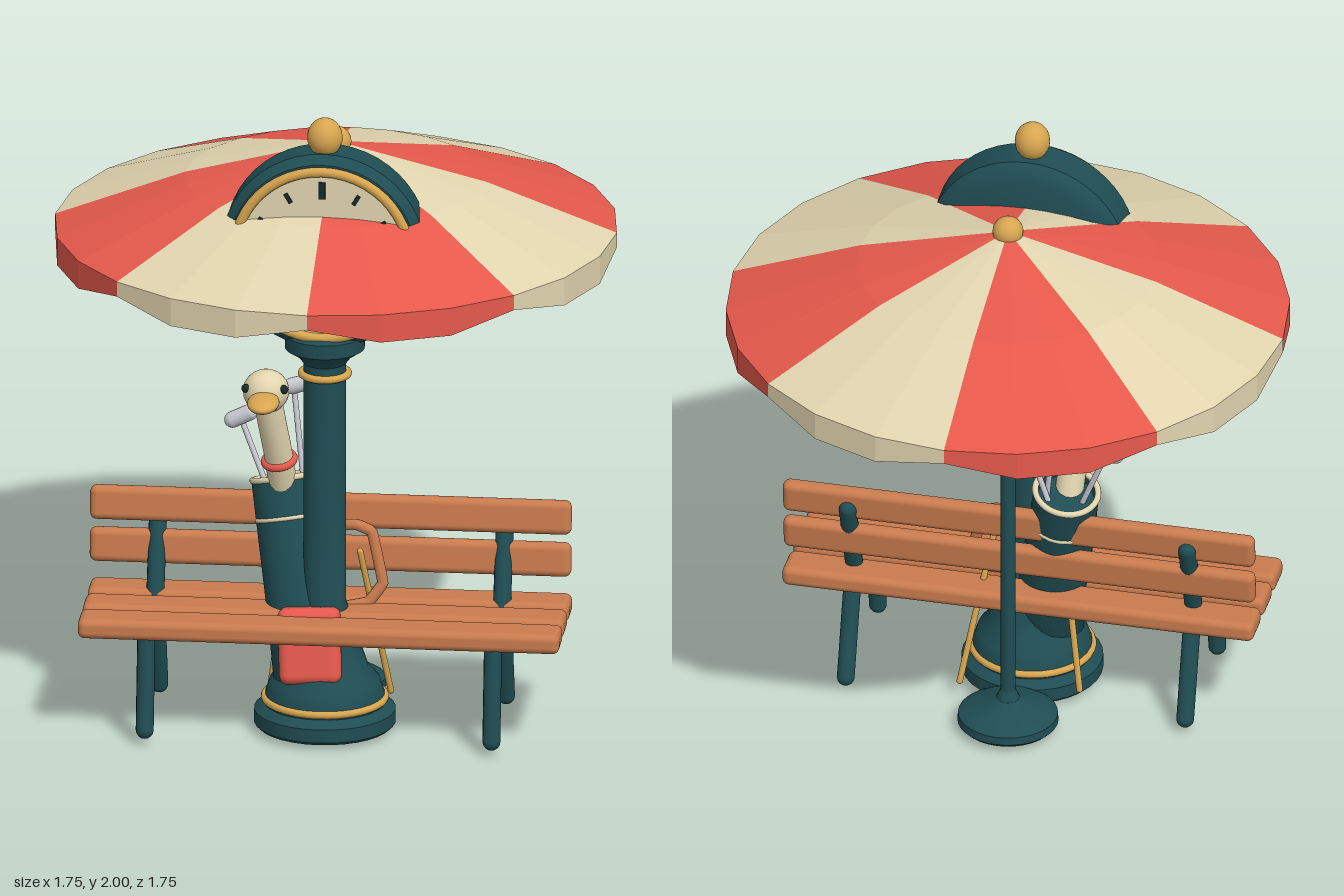
import * as THREE from 'three';
import { toCreasedNormals } from 'three/addons/utils/BufferGeometryUtils.js';
import { RoundedBoxGeometry } from 'three/addons/geometries/RoundedBoxGeometry.js';

const mat = (name, color) => Object.assign(new THREE.MeshStandardMaterial({ color }), { name });
const V = (x, y, z) => new THREE.Vector3(x, y, z);
const UP = V(0, 1, 0);

export function createModel() {
  const teal = mat('teal paint', 0x1f4d53);
  const cream = mat('cream', 0xe2d5af);
  const red = mat('red', 0xe6594c);
  const gold = mat('gold', 0xd8a650);
  const wood = mat('wood', 0xc97b4e);
  const silver = mat('silver', 0xcbccd4);
  const dark = mat('dark ink', 0x17292d);
  // canopy cloth is seen from both sides at the valance
  cream.side = red.side = THREE.DoubleSide;

  const model = new THREE.Group();
  model.name = 'parkSet';
  const group = (name, parent = model) => {
    const g = new THREE.Group();
    g.name = name;
    parent.add(g);
    return g;
  };
  const add = (parent, name, geometry, material, x = 0, y = 0, z = 0) => {
    const m = new THREE.Mesh(geometry, material);
    m.name = name;
    m.position.set(x, y, z);
    parent.add(m);
    return m;
  };
  const lathe = (pts, sides = 32) =>
    toCreasedNormals(new THREE.LatheGeometry(pts.map(p => new THREE.Vector2(...p)), sides), 0.6);
  const ball = (r, sx = 1, sy = 1, sz = 1) => new THREE.SphereGeometry(r, 24, 16).scale(sx, sy, sz);
  const ring = (r, tube) => new THREE.TorusGeometry(r, tube, 10, 40).rotateX(Math.PI / 2);
  // round-ended bar between two points
  const bar = (parent, name, a, b, r, material) => {
    const m = add(parent, name, new THREE.CapsuleGeometry(r, a.distanceTo(b), 4, 14), material);
    m.position.copy(a).add(b).multiplyScalar(0.5);
    m.quaternion.setFromUnitVectors(UP, b.clone().sub(a).normalize());
    return m;
  };

  // ---- Parasol: 8 panels of 3 segments, valance dips between seams
  const parasol = group('parasol');
  const hem = i => (i % 3 === 0 ? 1.492 : 1.45);
  // each row gives [radius, height] at segment i
  const cloth = (rows, usePanel, flip) => {
    const pos = [];
    const point = (i, row) => {
      const [r, y] = rows[row](i), t = i * Math.PI / 12;
      return [r * Math.sin(t), y, r * Math.cos(t)];
    };
    const tri = (a, b, c) => pos.push(...a, ...(flip ? c : b), ...(flip ? b : c));
    for (let i = 0; i < 24; i++) {
      if (!usePanel(Math.floor(i / 3))) continue;
      for (let row = 0; row < rows.length - 1; row++) {
        const a = point(i, row), b = point(i, row + 1), c = point(i + 1, row + 1), d = point(i + 1, row);
        tri(a, b, c);
        if (row > 0) tri(a, c, d);
      }
    }
    const g = new THREE.BufferGeometry();
    g.setAttribute('position', new THREE.Float32BufferAttribute(pos, 3));
    g.computeVertexNormals();
    return g;
  };
  const outer = [() => [0, 1.81], () => [0.47, 1.692], () => [0.875, 1.54], i => [0.875, hem(i)]];
  const lining = [() => [0, 1.79], i => [0.868, hem(i) + 0.012]];
  add(parasol, 'redPanels', cloth(outer, k => k % 2 === 0, false), red);
  add(parasol, 'creamPanels', cloth(outer, k => k % 2 === 1, false), cream);
  add(parasol, 'canopyLining', cloth(lining, () => true, true), cream);
  add(parasol, 'canopyKnob', ball(0.048), gold, 0, 1.81, 0);
  add(parasol, 'parasolPole', new THREE.CylinderGeometry(0.024, 0.024, 1.57, 20), teal, 0, 0.845, 0);
  add(parasol, 'parasolFoot', lathe([[0, 0.018], [0.145, 0.018], [0.157, 0.03], [0.155, 0.055],
    [0.12, 0.077], [0.06, 0.094], [0.036, 0.11], [0.024, 0.14]]), teal);

  // ---- Street clock
  const clock = group('streetClock');
  clock.position.z = 0.333;
  add(clock, 'clockPost', lathe([[0, 0.015], [0.21, 0.015], [0.22, 0.025], [0.22, 0.068], [0.205, 0.08],
    [0.19, 0.09], [0.185, 0.12], [0.17, 0.165], [0.135, 0.205], [0.115, 0.265], [0.09, 0.335], [0.066, 0.42],
    [0.066, 1.2], [0.085, 1.225], [0.124, 1.25], [0.124, 1.295], [0.1, 1.305], [0, 1.305]]), teal);
  add(clock, 'baseRing', ring(0.187, 0.012), gold, 0, 0.105, 0);
  add(clock, 'neckRing', ring(0.072, 0.012), gold, 0, 1.165, 0);
  add(clock, 'finial', ball(0.055, 1, 1.13, 1), gold, 0, 1.938, 0);
  const head = group('clockHead', clock);
  head.position.set(0, 1.58, -0.333);
  add(head, 'clockCase', lathe([[0, 0.235], [0.262, 0.235], [0.295, 0.246], [0.316, 0.27], [0.318, 0.38],
    [0.292, 0.41], [0, 0.412]], 48).rotateX(Math.PI / 2), teal);
  add(head, 'clockBezel', new THREE.TorusGeometry(0.273, 0.016, 10, 48), gold, 0, 0, 0.42);
  add(head, 'clockFace', new THREE.CircleGeometry(0.268, 48), cream, 0, 0, 0.418);
  for (let i = 0; i < 12; i++) {
    const t = i * Math.PI / 6, major = i % 3 === 0;
    const tick = add(head, 'hourMark', new THREE.BoxGeometry(major ? 0.02 : 0.013, major ? 0.055 : 0.034, 0.008),
      dark, 0.212 * Math.sin(t), 0.212 * Math.cos(t), 0.42);
    tick.rotation.z = -t;
  }
  [['hourHand', 0.1, -1.05], ['minuteHand', 0.15, 1.05]].forEach(([name, len, t]) => {
    const hand = add(head, name, new THREE.BoxGeometry(0.016, len, 0.008).translate(0, len / 2, 0), dark, 0, 0, 0.422);
    hand.rotation.z = -t;
  });

  // ---- Bench
  const bench = group('bench');
  const slat = (name, h, d, y, z, tilt = 0) => {
    add(bench, name, new RoundedBoxGeometry(1.5, h, d, 3, 0.022), wood, 0, y, z).rotation.x = tilt;
  };
  [0.482, 0.335, 0.183].forEach(z => slat('seatSlat', 0.064, 0.128, 0.367, z));
  slat('backSlat', 0.108, 0.05, 0.518, 0.16, -0.1);
  slat('backSlat', 0.108, 0.05, 0.653, 0.152, -0.1);
  for (const x of [-0.54, 0.54]) {
    bar(bench, 'frontLeg', V(x, 0.045, 0.54), V(x, 0.325, 0.495), 0.028, teal);
    bar(bench, 'backLeg', V(x, 0.045, 0.102), V(x, 0.325, 0.19), 0.028, teal);
    bar(bench, 'seatRail', V(x, 0.325, 0.495), V(x, 0.325, 0.19), 0.025, teal);
    bar(bench, 'backSupport', V(x, 0.335, 0.235), V(x, 0.64, 0.13), 0.028, teal);
  }

  // ---- Golf bag leaning on the post
  const bottom = V(-0.02, 0.035, 0.385), top = V(-0.143, 0.768, 0.187);
  const len = bottom.distanceTo(top);
  const bag = group('golfBag');
  bag.position.copy(bottom);
  bag.quaternion.setFromUnitVectors(UP, top.clone().sub(bottom).normalize());
  add(bag, 'bagBody', lathe([[0, 0], [0.112, 0], [0.12, 0.015], [0.108, 0.35], [0.102, len],
    [0.09, len], [0.088, len - 0.03], [0, len - 0.03]]), teal);
  add(bag, 'bagRim', ring(0.098, 0.01), cream, 0, len, 0);
  add(bag, 'bagBand', ring(0.101, 0.007), cream, 0, len - 0.125, 0);
  const pocket = add(model, 'bagPocket', new RoundedBoxGeometry(0.195, 0.24, 0.12, 3, 0.03), red, -0.038, 0.295, 0.402);
  pocket.rotation.set(-0.17, 0, 0.05);

  // carrying handle and stand legs
  const handlePts = [V(0, 0.63, 0.225), V(0.09, 0.638, 0.243), V(0.138, 0.618, 0.247),
    V(0.174, 0.46, 0.27), V(0.13, 0.4, 0.285), V(0.03, 0.38, 0.295)];
  const handlePath = new THREE.CatmullRomCurve3(handlePts, false, 'catmullrom', 0.08);
  add(model, 'bagHandle', new THREE.TubeGeometry(handlePath, 60, 0.018, 10), wood);
  bar(model, 'standLeg', V(0.1, 0.55, 0.24), V(0.185, 0.06, 0.135), 0.01, gold);
  bar(model, 'standLeg', V(-0.12, 0.55, 0.24), V(-0.188, 0.06, 0.17), 0.01, gold);

  // golf clubs: shaft foot, shaft top, head centre, head half-length direction
  const clubs = [
    [V(-0.18, 0.7, 0.2), V(-0.28, 0.948, 0.16), V(-0.279, 0.953, 0.16), V(0.027, 0.014, 0.003)],
    [V(-0.075, 0.7, 0.195), V(-0.115, 1.055, 0.155), V(-0.095, 1.063, 0.155), V(0.028, 0.008, 0)],
    [V(-0.1, 0.7, 0.17), V(-0.015, 0.965, 0.16), V(-0.015, 0.965, 0.16), V(0.029, -0.012, 0)],
  ];
  for (const [a, b, c, d] of clubs) {
    const club = group('golfClub');
    bar(club, 'clubShaft', a, b, 0.009, silver);
    bar(club, 'clubHead', c.clone().sub(d), c.clone().add(d), 0.026, silver);
  }

  // ---- Bird-shaped club cover
  const bird = group('birdCover');
  const neck = new THREE.CatmullRomCurve3([V(-0.135, 0.68, 0.225), V(-0.147, 0.85, 0.278),
    V(-0.168, 1, 0.318), V(-0.182, 1.1, 0.34)]);
  add(bird, 'birdNeck', new THREE.TubeGeometry(neck, 20, 0.045, 16), cream);
  const collar = add(bird, 'birdCollar', ring(0.045, 0.013), red, -0.148, 0.855, 0.279);
  collar.quaternion.setFromUnitVectors(UP, neck.getTangent(0.42));
  add(bird, 'birdHead', ball(0.072, 1, 0.95, 1.02), cream, -0.182, 1.103, 0.346);
  add(bird, 'birdBeak', ball(1, 0.05, 0.024, 0.075), gold, -0.18, 1.099, 0.45).rotation.x = 0.06;
  for (const s of [-1, 1]) add(bird, 'birdEye', ball(0.014), dark, -0.182 + s * 0.059, 1.122, 0.382);

  return model;
}
